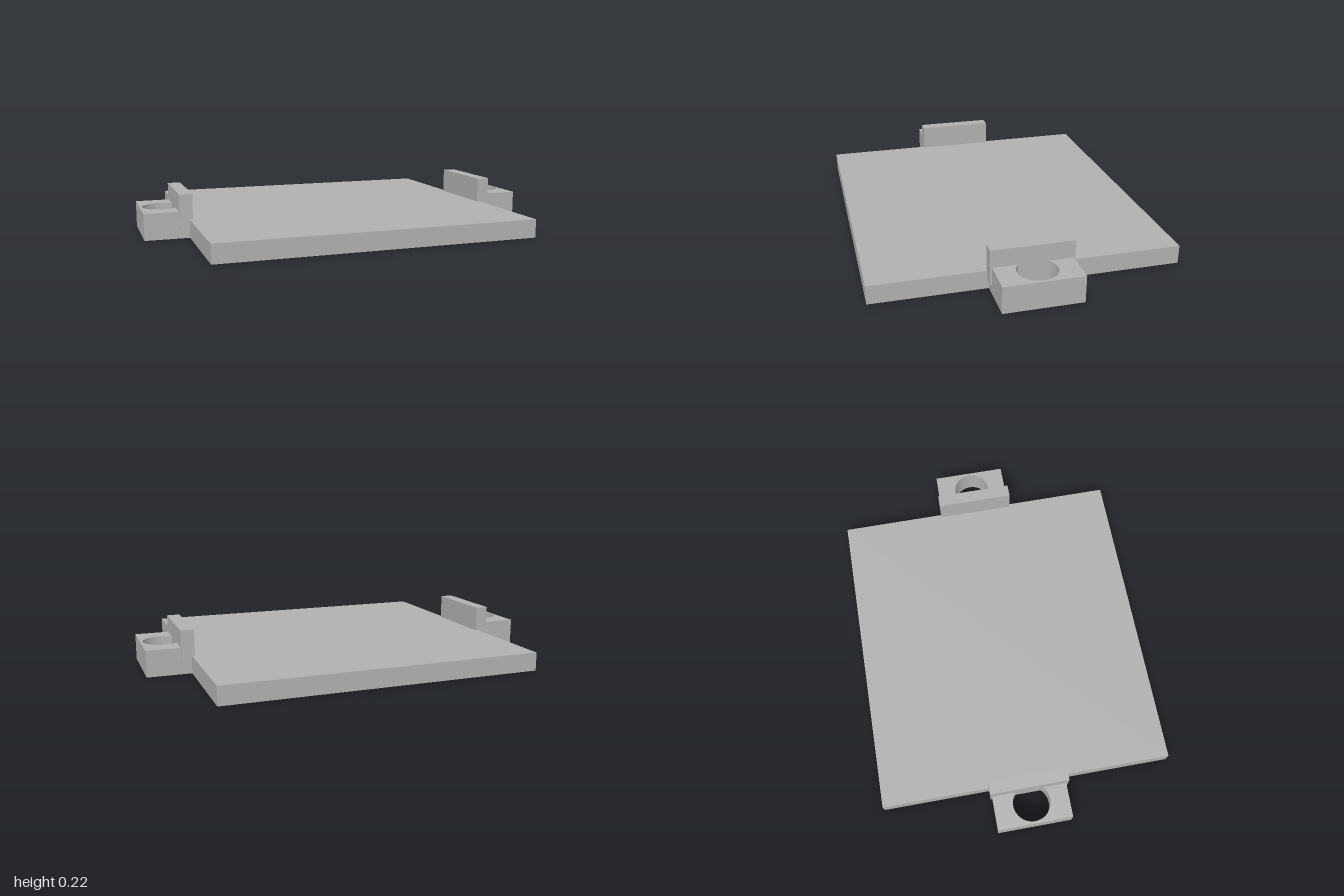
import * as THREE from 'three';

export function createModel() {
  const group = new THREE.Group();
  const grey = new THREE.MeshStandardMaterial({ color: 0xb0b0b0 });
  grey.name = 'grey';

  const add = (name, geometry, x, y, z) => {
    const mesh = new THREE.Mesh(geometry, grey);
    mesh.name = name;
    mesh.position.set(x, y, z);
    group.add(mesh);
  };

  // Flat base plate
  add('basePlate', new THREE.BoxGeometry(1.57, 0.09, 1.463), 0, 0.045, 0);

  for (const [side, s] of [['left', 1], ['right', -1]]) {
    // Mounting tab with a round screw hole, drawn flat and extruded upward
    const shape = new THREE.Shape();
    shape.moveTo(-0.1075, -0.187);
    shape.lineTo(0.1075, -0.187);
    shape.lineTo(0.1075, 0.187);
    shape.lineTo(-0.1075, 0.187);
    shape.closePath();
    const hole = new THREE.Path();
    hole.absarc(s * 0.0025, 0, 0.093, 0, Math.PI * 2, true);
    shape.holes.push(hole);
    const tab = new THREE.ExtrudeGeometry(shape, { depth: 0.13, bevelEnabled: false, curveSegments: 32 });
    tab.rotateX(-Math.PI / 2);
    add(side + 'MountingTab', tab, s * 0.8925, 0, 0);

    // Upright ridge, overhanging the inner edge of the hole
    add(side + 'Ridge', new THREE.BoxGeometry(0.064, 0.17, 0.392), s * 0.802, 0.13, 0);
  }
  return group;
}
